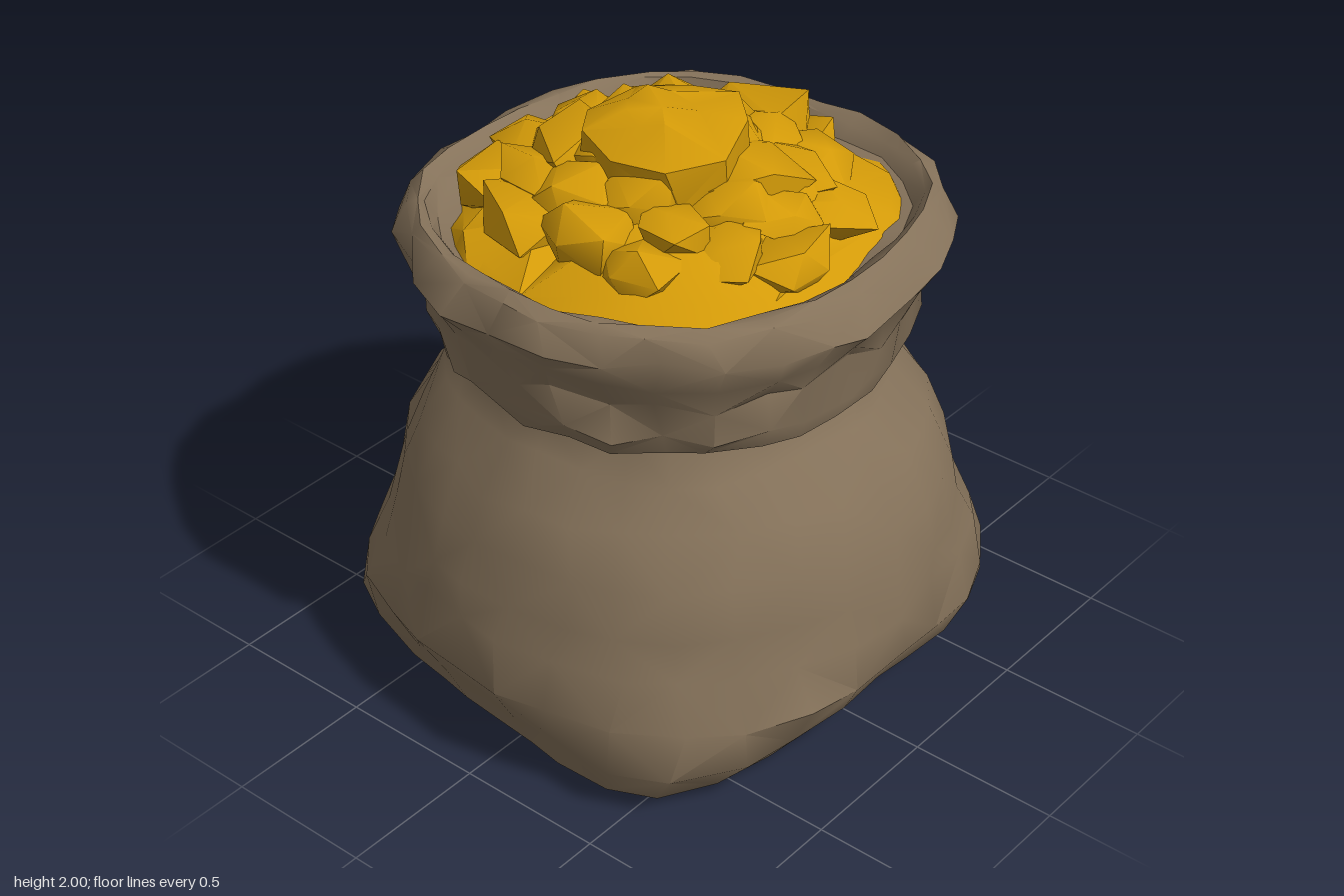
import * as THREE from 'three';
import { mergeGeometries, mergeVertices, toCreasedNormals } from 'three/addons/utils/BufferGeometryUtils.js';

// Small seeded random generator
function seeded(seed) {
  return () => {
    seed = (seed * 1664525 + 1013904223) % 4294967296;
    return seed / 4294967296;
  };
}

// Rounded-square radius for an angle; n = 2 is a circle
function squareRadius(t, n) {
  return Math.pow(Math.abs(Math.sin(t)) ** n + Math.abs(Math.cos(t)) ** n, -1 / n);
}

// Loft rings of [y, half width x, half depth z, squareness, wrinkle] into one crumpled skin
function loft(rings, segments, seed, crease, fold, twist) {
  const rand = seeded(seed);
  const pos = [];
  const index = [];
  rings.forEach(([y, rx, rz, n, wrinkle], i) => {
    for (let j = 0; j < segments; j++) {
      const a = (j / segments) * Math.PI * 2;
      const t = a + (rand() - 0.5) * wrinkle * 2;
      const r = squareRadius(t, n) * (1 + (rand() - 0.55) * wrinkle + fold(a, y));
      const dy = (rand() - 0.5) * wrinkle;
      const turned = t - twist * Math.max(0, Math.cos(a));
      pos.push(rx * r * Math.sin(turned), Math.max(0, y + dy), rz * r * Math.cos(turned));
      if (i < rings.length - 1) {
        const k = (j + 1) % segments;
        const p = i * segments + j, q = i * segments + k;
        const u = p + segments, v = q + segments;
        if ((i + j) % 2) index.push(p, q, v, p, v, u);
        else index.push(p, q, u, q, v, u);
      }
    }
  });
  const g = new THREE.BufferGeometry();
  g.setAttribute('position', new THREE.Float32BufferAttribute(pos, 3));
  g.setIndex(index);
  return toCreasedNormals(g, crease);
}

// Height of the heap above a point
function heapHeight(x, z) {
  const r = Math.hypot(x, z - 0.03);
  return 1.9 - 0.1 * r - 0.58 * r * r;
}

// A lumpy chunk with a few broad faces
function nugget(x, z, size, rand) {
  const g = mergeVertices(new THREE.IcosahedronGeometry(size, 0).deleteAttribute('normal').deleteAttribute('uv'));
  const p = g.attributes.position;
  for (let i = 0; i < p.count; i++) {
    const s = 0.75 + rand() * 0.5;
    p.setXYZ(i, p.getX(i) * s, p.getY(i) * s * 0.6, p.getZ(i) * s);
  }
  g.rotateY(rand() * 6.28);
  g.rotateX((rand() - 0.5) * 0.8);
  g.translate(x, heapHeight(x, z) - size * 0.3, z);
  for (let i = 0; i < p.count; i++) p.setY(i, Math.min(1.97, p.getY(i)));
  return toCreasedNormals(g, 0.9);
}

export function createModel() {
  const group = new THREE.Group();
  const cloth = new THREE.MeshStandardMaterial({ color: 0x85725a });
  cloth.name = 'brown cloth';
  const gold = new THREE.MeshStandardMaterial({ color: 0xd39a08 });
  gold.name = 'gold';

  const add = (name, geometry, material) => {
    const mesh = new THREE.Mesh(geometry, material);
    mesh.name = name;
    group.add(mesh);
  };

  // Sagging sack body with pointed base corners, pinched at the neck
  const body = [
    [0.03, 0, 0, 2, 0],
    [0.015, 0.4, 0.42, 3, 0.02],
    [0.035, 0.71, 0.78, 4.5, 0.02],
    [0.18, 0.83, 0.84, 5, 0.025],
    [0.34, 0.94, 0.935, 2.6, 0.03],
    [0.5, 0.915, 0.905, 2.3, 0.04],
    [0.63, 0.89, 0.875, 2.2, 0.04],
    [0.78, 0.87, 0.85, 2.15, 0.04],
    [0.93, 0.78, 0.78, 2.15, 0.04],
    [1.07, 0.69, 0.71, 2.1, 0.04],
    [1.19, 0.615, 0.65, 2.2, 0.02],
    [1.32, 0.62, 0.65, 2.2, 0],
  ];
  const bodyFold = (a, y) => {
    if (y < 0.4 || y > 1.15) return 0;
    return 0.04 * Math.sin(a * 8 + 1) * Math.max(0, y - 0.7) + 0.01 * Math.sin(a * 3 + y * 16);
  };
  add('sackBody', loft(body, 32, 7, 0.75, bodyFold, 0.12), cloth);

  // Folded-over cuff: underside, bulging outside, rim and inner lining
  const cuff = [
    [1.21, 0.57, 0.6, 2.2, 0],
    [1.18, 0.7, 0.69, 2.3, 0.03],
    [1.25, 0.735, 0.73, 2.3, 0.05],
    [1.37, 0.725, 0.735, 2.3, 0.05],
    [1.47, 0.775, 0.785, 2.3, 0.05],
    [1.55, 0.81, 0.825, 2.3, 0.05],
    [1.635, 0.765, 0.785, 2.4, 0.03],
    [1.66, 0.72, 0.75, 2.5, 0.02],
    [1.645, 0.68, 0.71, 2.7, 0.02],
    [1.59, 0.655, 0.68, 2.7, 0.02],
    [1.56, 0.5, 0.52, 2.5, 0.02],
  ];
  add('foldedCuff', loft(cuff, 30, 23, 0.75, (a) => 0.012 * Math.sin(a * 5 + 1), 0), cloth);

  // Mound running out to the lining, leaving cloth showing in the corners
  const mound = [0.5, 0.38, 0.25, 0.12, 0].map((r) => [heapHeight(r, 0.03) - 0.02, r, r, 2.2, r * 0.24]);
  mound.unshift([1.55, 0.7, 0.73, 2.15, 0.06], [1.625, 0.61, 0.65, 2.2, 0.1]);
  add('goldMound', loft(mound, 20, 11, 0.7, () => 0, 0), gold);

  // Gold chunks spread over the mound in a spiral
  const rand = seeded(41);
  const chunks = [];
  const count = 34;
  for (let i = 0; i < count; i++) {
    const r = 0.53 * Math.sqrt((i + 0.3) / count);
    const a = i * 2.39996;
    const size = 0.13 + rand() * 0.07;
    chunks.push(nugget(r * Math.sin(a), r * Math.cos(a) + 0.01, size, rand));
  }
  add('goldChunks', mergeGeometries(chunks), gold);

  // Broad slab on the peak, tipped up towards the back
  const slab = [
    [-0.14, 0.28, 0.24, 2, 0.1],
    [0, 0.27, 0.24, 2, 0.1],
    [0.03, 0.12, 0.1, 2, 0.06],
    [0.035, 0, 0, 2, 0],
  ].map(([y, ...rest]) => [y + 1, ...rest]);
  const peak = loft(slab, 9, 5, 0.7, () => 0, 0);
  peak.translate(0, -1, 0).rotateX(0.1).translate(0.02, 1.955, 0.08);
  add('peakChunk', peak, gold);

  return group;
}
